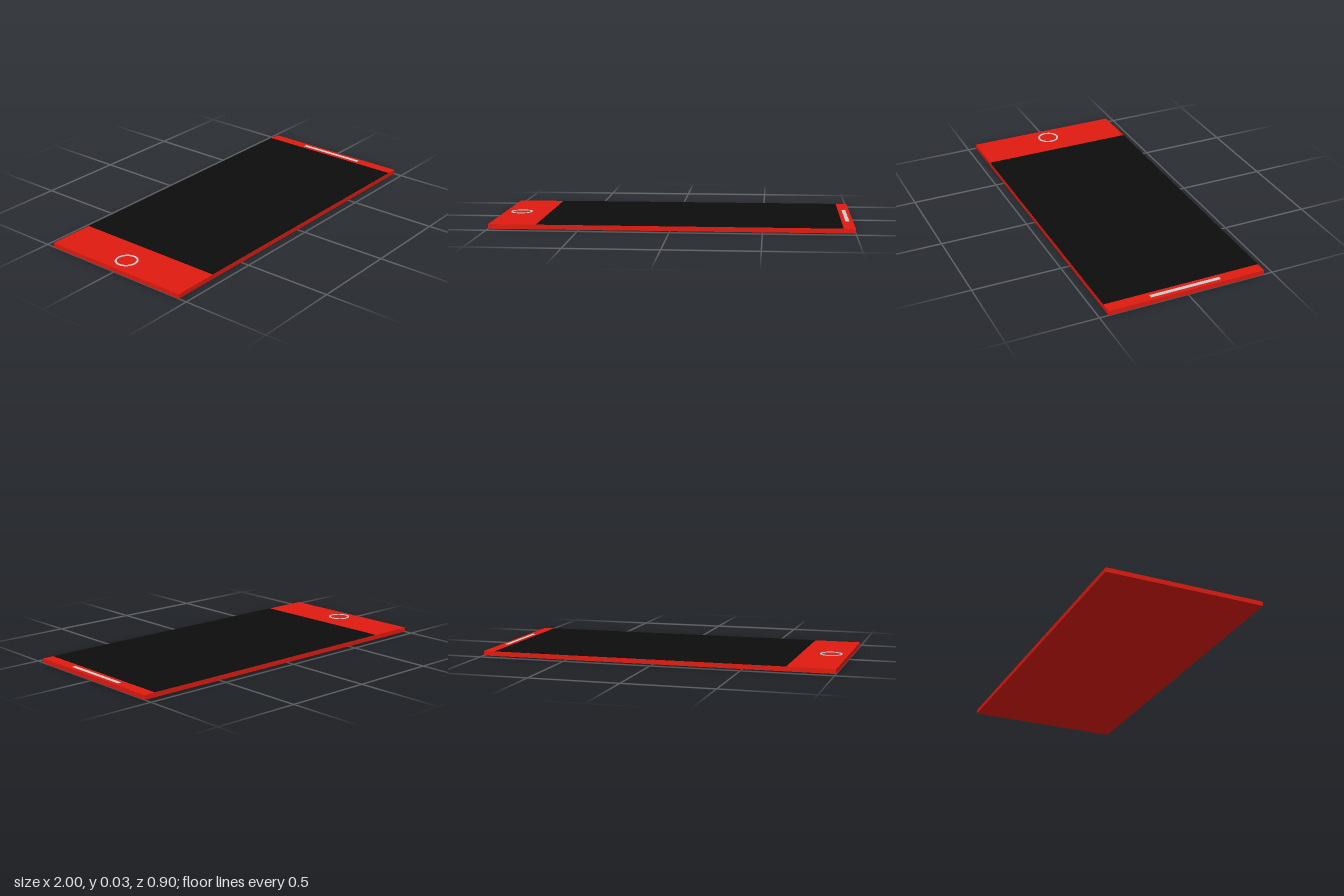
import * as THREE from 'three';

const TOP = 0.0255; // height of the slab's upper face

export function createModel() {
  const group = new THREE.Group();
  const red = new THREE.MeshStandardMaterial({ color: 0xe01b10 });
  const black = new THREE.MeshStandardMaterial({ color: 0x0d0d0d });
  const grey = new THREE.MeshStandardMaterial({ color: 0xcccccc });

  const add = (name, geometry, material, x, y, z = 0) => {
    const mesh = new THREE.Mesh(geometry, material);
    mesh.name = name;
    mesh.position.set(x, y, z);
    group.add(mesh);
    return mesh;
  };

  // Flat slab with square edges
  add('body', new THREE.BoxGeometry(2, TOP, 0.9), red, 0, TOP / 2);

  // Screen spans the full width, flush with the upper face
  const screen = new THREE.PlaneGeometry(1.67, 0.9).rotateX(-Math.PI / 2);
  add('screen', screen, black, 0.1, TOP + 0.0006);

  // Thin raised ring around the home button
  const ring = new THREE.Shape().absarc(0, 0, 0.063, 0, Math.PI * 2);
  ring.holes.push(new THREE.Path().absarc(0, 0, 0.052, 0, Math.PI * 2, true));
  const ringGeometry = new THREE.ExtrudeGeometry(ring, {
    depth: 0.003, bevelEnabled: false, curveSegments: 32,
  }).rotateX(-Math.PI / 2);
  add('homeButtonRing', ringGeometry, grey, -0.902, TOP);

  // Speaker slot at the opposite end
  add('speaker', new THREE.BoxGeometry(0.022, 0.0015, 0.405), grey, 0.968, TOP + 0.0005);

  return group;
}
